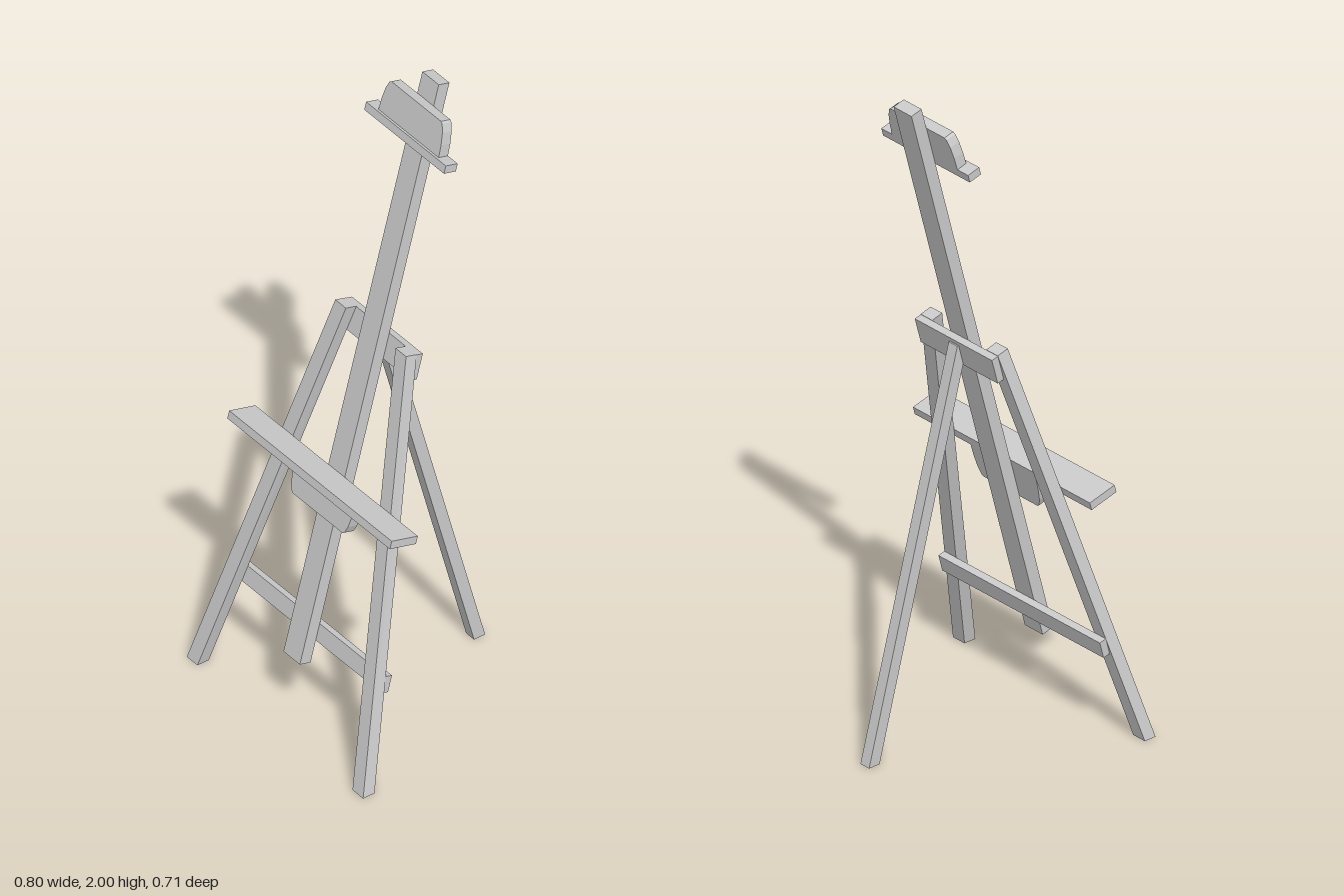
import * as THREE from 'three';

const TILT = Math.PI / 12;   // lean of the mast and both leg planes
const FOOT_Z = 0.355;

export function createModel() {
  const easel = new THREE.Group();
  easel.name = 'easel';
  const material = new THREE.MeshStandardMaterial({ color: 0xcccccc, flatShading: true });

  const add = (parent, name, geometry) => {
    const mesh = new THREE.Mesh(geometry, material);
    mesh.name = name;
    parent.add(mesh);
    return mesh;
  };

  // Box given by its extents: half width in x, then y and z ranges
  const slab = (halfX, y0, y1, z0, z1) =>
    new THREE.BoxGeometry(2 * halfX, y1 - y0, z1 - z0).translate(0, (y0 + y1) / 2, (z0 + z1) / 2);

  // Straight bar with a level foot: a unit box sheared from bottom to top.
  // Each end is centred on [x, y, z]; topDrop lowers the back edge of the top.
  const bar = (width, depth, bottom, top, topDrop = 0) => {
    const geometry = new THREE.BoxGeometry(1, 1, 1);
    const p = geometry.attributes.position;
    for (let i = 0; i < p.count; i++) {
      const end = p.getY(i) > 0 ? top : bottom;
      const back = p.getY(i) > 0 && p.getZ(i) < 0;
      p.setXYZ(i,
        end[0] + p.getX(i) * width,
        end[1] - (back ? topDrop : 0),
        end[2] + p.getZ(i) * depth + (back ? topDrop * Math.tan(TILT) : 0));
    }
    geometry.computeVertexNormals();
    return geometry;
  };

  // Leaning frame: local z = 0 is the front face of mast and legs
  const frame = new THREE.Group();
  frame.name = 'leaningFrame';
  frame.position.z = FOOT_Z;
  frame.rotation.x = -TILT;
  easel.add(frame);

  add(frame, 'mast', slab(0.037, 0.222, 2.07, -0.038, 0));
  add(frame, 'upperRail', slab(0.16, 1.19, 1.272, -0.06, -0.0375));
  add(frame, 'lowerRail', slab(0.335, 0.293, 0.346, -0.06, -0.0375));
  add(frame, 'canvasTray', slab(0.367, 0.794, 0.819, 0, 0.093));
  add(frame, 'topClampLedge', slab(0.18, 1.875, 1.9, 0, 0.042));

  // Blocks with rounded shoulders, one on the clamp and one hanging below the tray
  const half = [[0.136, 0], [0.134, 0.04], [0.128, 0.076], [0.119, 0.099], [0.112, 0.104]];
  const outline = [...half, ...half.map(([x, y]) => [-x, y]).reverse()];
  const block = () => new THREE.ExtrudeGeometry(
    new THREE.Shape(outline.map(([x, y]) => new THREE.Vector2(x, y))),
    { depth: 0.033, bevelEnabled: false });
  add(frame, 'topClampBlock', block()).position.y = 1.898;
  const trayBlock = add(frame, 'trayBlock', block());
  trayBlock.rotation.z = Math.PI;
  trayBlock.position.y = 0.794;

  // Splayed front legs
  for (const [side, name] of [[1, 'leftLeg'], [-1, 'rightLeg']]) {
    const depth = 0.039, topY = 1.23;
    add(easel, name, bar(0.048, depth,
      [side * 0.374, 0, FOOT_Z - depth / 2],
      [side * 0.136, topY, FOOT_Z - depth / 2 - topY * Math.tan(TILT)], 0.01));
  }

  // Rear prop leg, meeting the upper rail behind the mast
  add(easel, 'rearLeg', bar(0.036, 0.038,
    [0, 0, -FOOT_Z + 0.019],
    [0, 1.2, -FOOT_Z + 0.019 + 1.2 * Math.tan(TILT)]));

  return easel;
}
